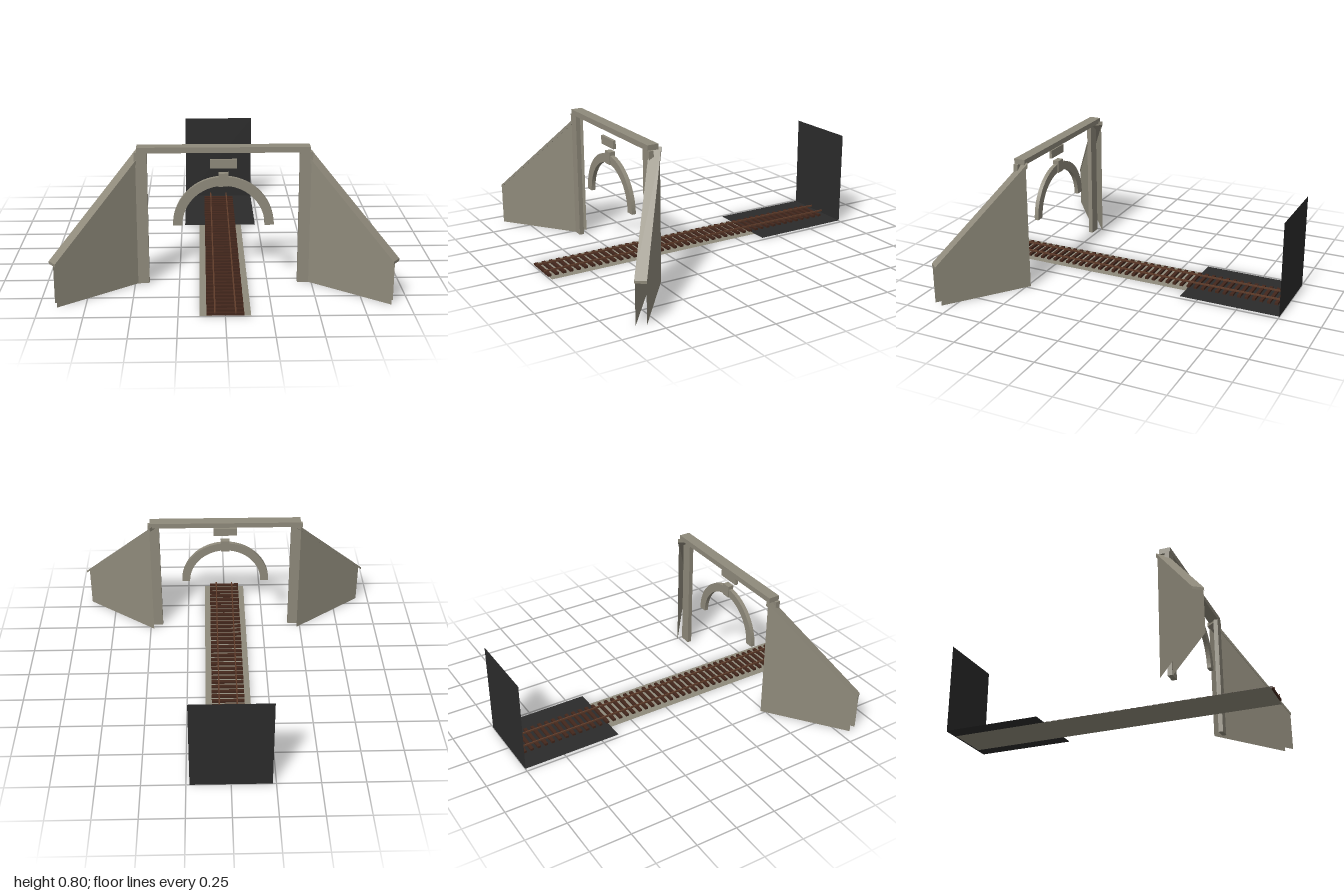
import * as THREE from 'three';

export function createModel() {
  const model = new THREE.Group();
  const material = (name, color, side = THREE.FrontSide) => {
    const m = new THREE.MeshStandardMaterial({ color, side });
    m.name = name;
    return m;
  };
  const stone = material('stone', 0x8f8a7b, THREE.DoubleSide);
  const dark = material('tunnel dark', 0x2b2b2b, THREE.DoubleSide);
  const wood = material('sleeper wood', 0x43271c);
  const rust = material('rail rust', 0x5f3c2a);

  const add = (name, geometry, mat, parent = model) => {
    const mesh = new THREE.Mesh(geometry, mat);
    mesh.name = name;
    parent.add(mesh);
    return mesh;
  };
  // Box given by its lower and upper limits on each axis
  const box = (name, mat, [x0, x1], [y0, y1], [z0, z1], parent) => {
    const mesh = add(name, new THREE.BoxGeometry(x1 - x0, y1 - y0, z1 - z0), mat, parent);
    mesh.position.set((x0 + x1) / 2, (y0 + y1) / 2, (z0 + z1) / 2);
    return mesh;
  };
  // Flat horizontal panel
  const floor = (name, mat, halfWidth, z0, z1, y) => {
    const mesh = add(name, new THREE.PlaneGeometry(halfWidth * 2, z1 - z0).rotateX(-Math.PI / 2), mat);
    mesh.position.set(0, y, (z0 + z1) / 2);
  };
  const outline = (points) => new THREE.Shape(points.map(([x, y]) => new THREE.Vector2(x, y)));

  // Track bed, and the dark end of the tunnel
  floor('trackBed', stone, 0.137, -0.99, 0.99, 0);
  floor('tunnelFloor', dark, 0.23, -1, -0.39, 0.004);
  add('tunnelEnd', new THREE.PlaneGeometry(0.46, 0.575), dark).position.set(0, 0.2875, -1);

  // Sleepers and rails
  const sleepers = new THREE.Group();
  sleepers.name = 'sleepers';
  model.add(sleepers);
  for (let i = 0; i < 43; i++) {
    const z = -0.941 + i * 0.0459;
    box('sleeper', wood, [-0.1, 0.1], [0.004, 0.018], [z - 0.01, z + 0.01], sleepers);
  }
  for (const x of [-0.055, 0.055]) {
    box('rail', rust, [x - 0.004, x + 0.004], [0.017, 0.027], [-0.998, 1]);
  }

  // Portal coping, plaque and keystone
  box('coping', stone, [-0.477, 0.477], [0.768, 0.8], [0.487, 0.555]);
  box('plaque', stone, [-0.075, 0.075], [0.68, 0.73], [0.538, 0.555]);
  box('keystone', stone, [-0.028, 0.028], [0.575, 0.65], [0.52, 0.557]);

  // Arch ring
  const ring = new THREE.Shape();
  ring.absarc(0, 0, 0.282, 0, Math.PI, false);
  ring.absarc(0, 0, 0.23, Math.PI, 0, true);
  const archGeometry = new THREE.ExtrudeGeometry(ring, { depth: 0.025, bevelEnabled: false, curveSegments: 24 });
  add('archRing', archGeometry, stone).position.set(0, 0.348, 0.527);

  // Pilasters and splayed wing walls, one set on each side
  for (const side of [-1, 1]) {
    const [x0, x1] = [0.42, 0.492].map((x) => x * side).sort((a, b) => a - b);
    box('pilaster', stone, [x0, x1], [0, 0.77], [0.525, 0.553]);

    const wing = new THREE.Group();
    wing.name = side > 0 ? 'leftWingWall' : 'rightWingWall';
    wing.position.set(side * 0.474, 0, 0.468);
    wing.rotation.y = -side * Math.atan(0.76);
    model.add(wing);

    // Two upright faces, open at the foot and the end
    const capBottom = (s) => 0.76 - 0.887 * s;
    for (const [name, s0, s1, z] of [['wingBack', 0.01, 0.565, 0.006], ['wingFront', 0.05, 0.584, 0.062]]) {
      const shape = outline([
        [side * s0, 0], [side * s1, 0], [side * s1, capBottom(s1)], [side * s0, capBottom(s0)],
      ]);
      add(name, new THREE.ShapeGeometry(shape), stone, wing).position.z = z;
    }

    // Sloping cap along the top of the wing
    const cap = outline([
      [0, 0.755], [side * 0.586, 0.235], [side * 0.586, 0.25], [0, 0.78],
    ]);
    add('wingCap', new THREE.ExtrudeGeometry(cap, { depth: 0.065, bevelEnabled: false }), stone, wing);
  }
  return model;
}
